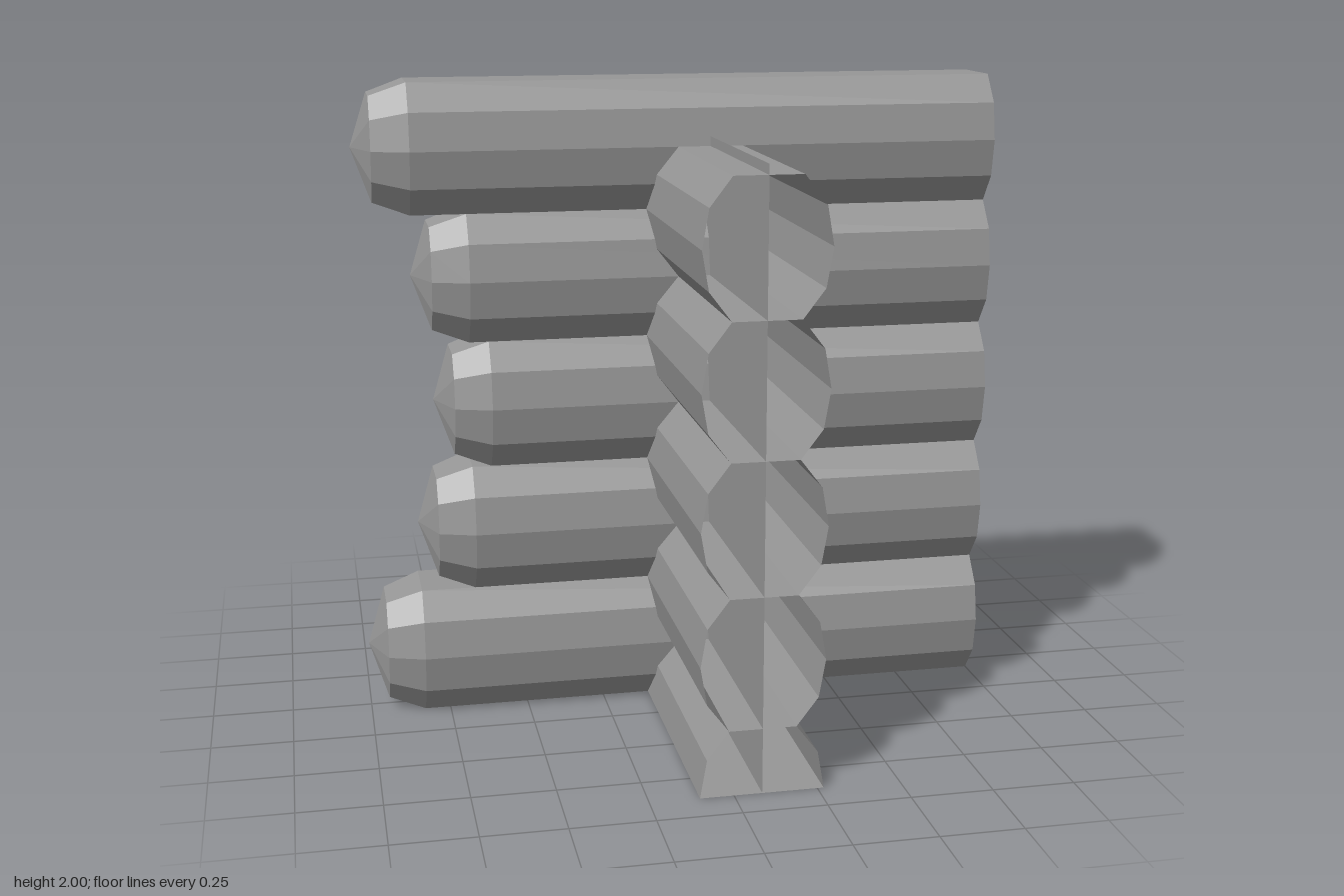
import * as THREE from 'three';

const material = new THREE.MeshStandardMaterial({ color: 0x969696, flatShading: true, side: THREE.DoubleSide });

// Ten-sided log section, counter-clockwise from the lower right
const right = [[0.1, -0.2], [0.165, -0.115], [0.185, 0], [0.165, 0.115], [0.1, 0.2]];
const section = [...right, ...right.map(([x, y]) => [-x, y]).reverse()];
const halfSection = section.slice(2, 8);

const CROSS_X = 0.084; // centre line of the front-to-back wall
const CROSS_Z = -0.03; // centre line of the side-to-side wall

// Open log along z: straight body, tapered end and a low pointed cap at -z.
// A broken log loses the upper half of its taper and cap.
function logGeometry(points, start, shoulder, rim, tip, broken = false) {
  const pos = [];
  const n = points.length;
  const ring = (z, s) => points.map(([x, y]) => [x * s, y * s, z]);
  const a = ring(start, 1), b = ring(shoulder, 1), c = ring(rim, 0.8);
  const apex = [0, 0, tip];
  const tri = (...corners) => corners.forEach((p) => pos.push(...p));
  for (let i = 0; i < n; i++) {
    const j = (i + 1) % n;
    tri(a[i], b[i], a[j]);
    tri(a[j], b[i], b[j]);
    if (broken && i >= 2 && i <= 6) {
      // Torn shards left at either side of the hole
      if (i === 2) tri(b[i], c[i], b[j]);
      if (i === 6) tri(b[i], c[j], b[j]);
      continue;
    }
    tri(b[i], c[i], b[j]);
    tri(b[j], c[i], c[j]);
    if (points[i][1] !== 0 || points[j][1] !== 0) tri(c[i], apex, c[j]);
  }
  const geometry = new THREE.BufferGeometry();
  geometry.setAttribute('position', new THREE.Float32BufferAttribute(pos, 3));
  geometry.computeVertexNormals();
  return geometry;
}

export function createModel() {
  const model = new THREE.Group();
  const add = (name, geometry, x, y, z) => {
    const mesh = new THREE.Mesh(geometry, material);
    mesh.name = name;
    mesh.position.set(x, y, z);
    model.add(mesh);
    return mesh;
  };

  // Side-to-side logs, pointed at -x
  [-1, -0.83, -0.77, -0.83, -1].forEach((tip, i) => {
    const geometry = logGeometry(section, 1, tip + 0.17, tip + 0.057, tip).rotateY(Math.PI / 2);
    add(`sideLog${i + 1}`, geometry, 0, 0.2 + 0.4 * i, CROSS_Z);
  });

  // Front-to-back logs, pointed at -z, starting with a half log on the ground
  add('groundHalfLog', logGeometry(halfSection, 0.887, -0.715, -0.83, -0.887), CROSS_X, 0, 0);
  [-0.655, -0.54, -0.54].forEach((tip, i) => {
    add(`crossLog${i + 1}`, logGeometry(section, 0.887, tip + 0.17, tip + 0.057, tip), CROSS_X, 0.4 + 0.4 * i, 0);
  });
  add('brokenCrossLog', logGeometry(section, 0.887, -0.315, -0.427, -0.455, true), CROSS_X, 1.6, 0);

  // Thin filler sheets running through the middle of both walls
  const height = 1.83;
  const sideLength = 1 - CROSS_X, crossLength = 0.887 - CROSS_Z;
  add('sideFiller', new THREE.PlaneGeometry(sideLength, height), CROSS_X + sideLength / 2, height / 2, CROSS_Z);
  add('crossFiller', new THREE.PlaneGeometry(crossLength, height), CROSS_X, height / 2, CROSS_Z + crossLength / 2)
    .rotation.y = Math.PI / 2;

  return model;
}
